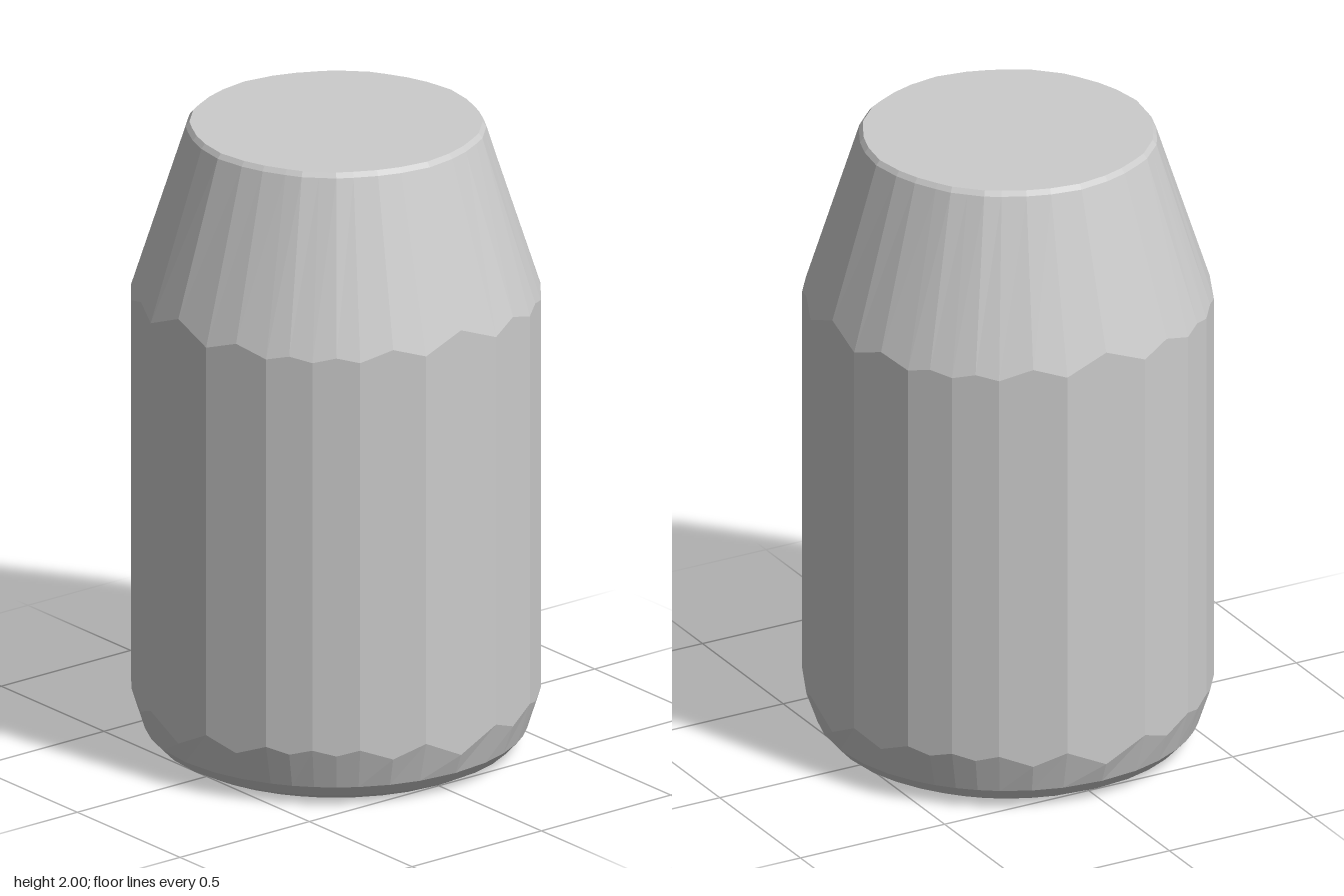
import * as THREE from 'three';

const DEG = Math.PI / 180;

// Repeats the corner angles of one quarter turn all the way round
function aroundCorners(quarter) {
  const all = [];
  for (let q = 0; q < 4; q++) for (const a of quarter) all.push(a + q * 90);
  return all;
}

// Distance from the axis to a polygon (corners on a circle) at a given angle
function polygonRadius(corners, radius, angle) {
  const n = corners.length;
  for (let i = 0; i < n; i++) {
    const a = corners[i];
    const span = (corners[(i + 1) % n] - a + 360) % 360;
    const offset = (angle - a + 720) % 360;
    if (offset <= span) {
      return radius * Math.cos(span / 2 * DEG) / Math.cos((offset - span / 2) * DEG);
    }
  }
  return radius;
}

export function createModel() {
  const wallCorners = aroundCorners([12.5, 31.7, 45, 58.3, 77.5]);
  const rimCorners = aroundCorners([0, 17, 37, 53, 73]);

  // One column on every wall corner and one in the middle of every wall facet
  const angles = [];
  wallCorners.forEach((a, i) => {
    const next = i + 1 < wallCorners.length ? wallCorners[i + 1] : wallCorners[0] + 360;
    angles.push(a, (a + next) / 2);
  });

  // Column profile: wall meets the cone and the rounded base lower or higher
  // depending on how far out it is, which scallops both seams
  const columns = angles.map((angle) => {
    const wall = polygonRadius(wallCorners, 0.624, angle);
    const rim = polygonRadius(rimCorners, 1, angle);
    const out = wall - 0.61;
    const profile = [
      [0, 0], [0.495, 0], [0.545, 0.025], [0.582, 0.065],
      [wall, 0.135 + out * 4.5], [wall, 1.5 - out * 3.6],
      [0.457 * rim, 1.985], [0.445 * rim, 2], [0, 2],
    ];
    return profile.map(([r, y]) =>
      new THREE.Vector3(r * Math.sin(angle * DEG), y, r * Math.cos(angle * DEG)));
  });

  // Skin between neighbouring columns, with single triangles on the two end discs
  const positions = [];
  const triangle = (...points) => points.forEach((p) => positions.push(p.x, p.y, p.z));
  columns.forEach((left, i) => {
    const right = columns[(i + 1) % columns.length];
    const last = left.length - 2;
    for (let j = 0; j <= last; j++) {
      if (j > 0) triangle(left[j], right[j], right[j + 1]);
      if (j < last) triangle(left[j], right[j + 1], left[j + 1]);
    }
  });

  const geometry = new THREE.BufferGeometry();
  geometry.setAttribute('position', new THREE.Float32BufferAttribute(positions, 3));
  geometry.computeVertexNormals();

  const body = new THREE.Mesh(
    geometry,
    new THREE.MeshStandardMaterial({ color: 0xcccccc, flatShading: true }),
  );
  body.name = 'bottleBody';

  const model = new THREE.Group();
  model.name = 'bottle';
  model.add(body);
  return model;
}
